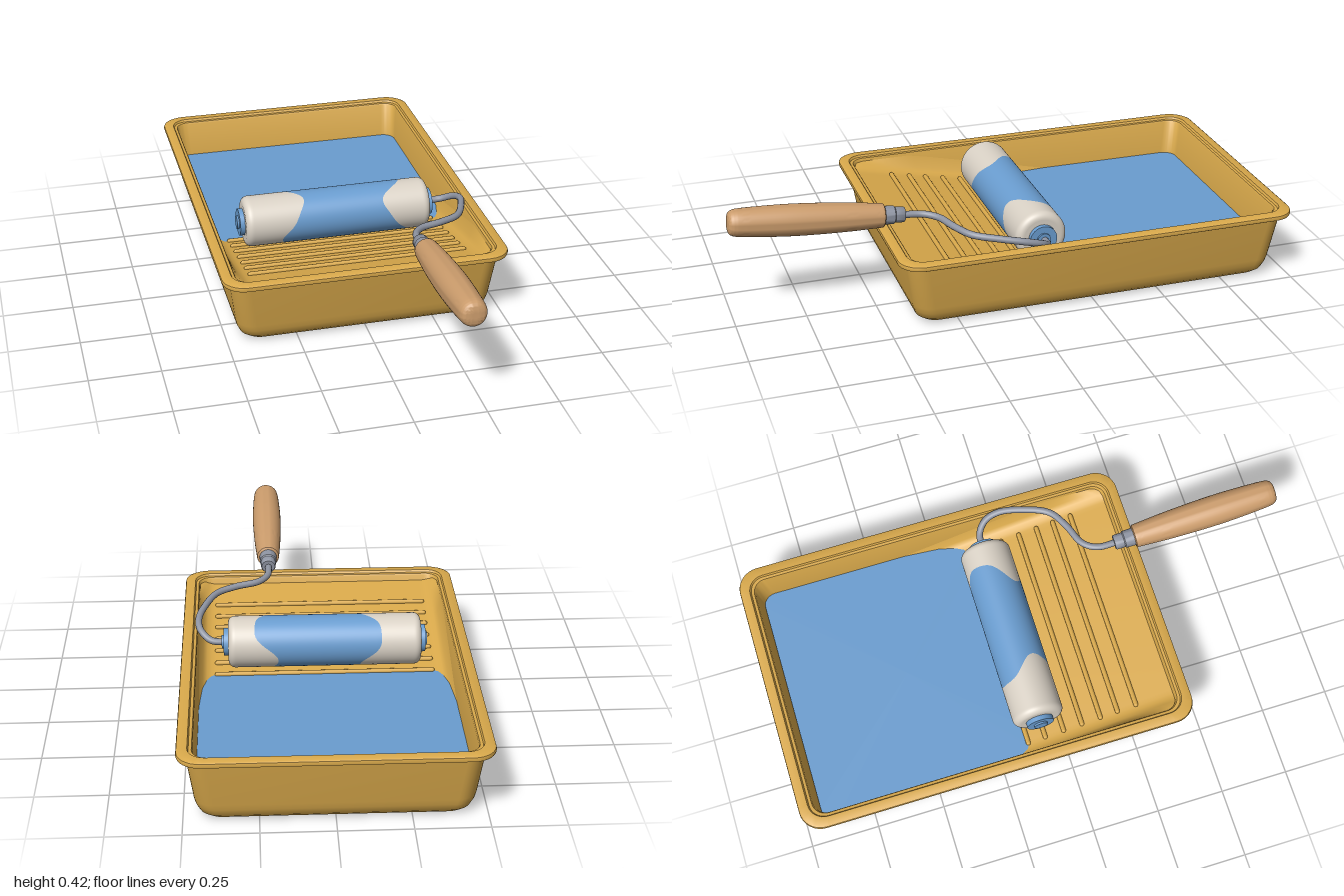
import * as THREE from 'three';
import { toCreasedNormals } from 'three/addons/utils/BufferGeometryUtils.js';

const mat = (name, color, side = THREE.FrontSide) => {
  const m = new THREE.MeshStandardMaterial({ color, side });
  m.name = name;
  return m;
};

// Indexed surface from a rule: point(i, j) for every row and column
function grid(rows, cols, wrap, point) {
  const pos = [], idx = [], n = wrap ? cols : cols + 1;
  for (let i = 0; i <= rows; i++) for (let j = 0; j < n; j++) pos.push(...point(i, j));
  for (let i = 0; i < rows; i++) for (let j = 0; j < cols; j++) {
    const k = (j + 1) % n, a = i * n + j, b = i * n + k, c = a + n, d = b + n;
    idx.push(a, b, c, b, d, c);
  }
  const g = new THREE.BufferGeometry();
  g.setAttribute('position', new THREE.Float32BufferAttribute(pos, 3));
  g.setIndex(idx);
  g.computeVertexNormals();
  return g;
}

// Loft through rounded rectangles given as [half width, half depth, corner radius, height]
function loft(sections) {
  const per = 9;
  return toCreasedNormals(grid(sections.length - 1, per * 4, true, (i, j) => {
    const [hx, hz, r, y] = sections[i];
    const q = Math.floor(j / per), t = (q + (j % per) / (per - 1)) * Math.PI / 2;
    const sx = q === 0 || q === 3 ? 1 : -1, sz = q < 2 ? -1 : 1;
    return [sx * (hx - r) + r * Math.cos(t), y, sz * (hz - r) - r * Math.sin(t)];
  }), 0.7);
}

export function createModel() {
  const model = new THREE.Group();
  const yellow = mat('tray yellow', 0xd9a94b);
  const blue = mat('paint blue', 0x6a9dd0);
  const cream = mat('roller cream', 0xdad2c6);
  const metal = mat('metal grey', 0x8e94a2);
  const wood = mat('handle wood', 0xcb9c6c);
  const add = (name, geo, material, x = 0, y = 0, z = 0, parent = model) => {
    const m = new THREE.Mesh(geo, material);
    m.name = name;
    m.position.set(x, y, z);
    parent.add(m);
    return m;
  };

  // Tray shell: underside, outer wall, rim, inner step, inner wall, floor
  add('tray', loft([
    [0, 0, 0, 0], [0.405, 0.615, 0.05, 0], [0.43, 0.643, 0.06, 0.007], [0.447, 0.659, 0.065, 0.022],
    [0.458, 0.668, 0.065, 0.048], [0.463, 0.673, 0.065, 0.07], [0.485, 0.7, 0.065, 0.243],
    [0.508, 0.725, 0.08, 0.243], [0.513, 0.731, 0.08, 0.246], [0.515, 0.7325, 0.08, 0.253],
    [0.513, 0.731, 0.08, 0.261], [0.507, 0.725, 0.08, 0.265], [0.478, 0.697, 0.06, 0.265],
    [0.474, 0.692, 0.055, 0.257], [0.464, 0.682, 0.05, 0.256], [0.461, 0.678, 0.05, 0.25],
    [0.454, 0.662, 0.05, 0.1], [0.445, 0.65, 0.05, 0.04], [0.42, 0.63, 0.04, 0.02], [0, 0, 0, 0.02],
  ]), yellow, 0, 0, -0.2675);

  // Sloping ramp that curves up into the side walls
  const rampY = z => 0.12 + 0.2 * (z + 0.14);
  add('ramp', grid(60, 40, false, (i, j) => {
    const x = -0.46 + 0.92 * i / 60, z = -0.5 + 0.913 * j / 40;
    const d = Math.max(0, Math.abs(x) - 0.4), r = 0.06;
    const lift = r - Math.sqrt(Math.max(0, r * r - d * d));
    return [x, Math.min(rampY(z) + lift, 0.245), z];
  }), yellow);

  // Ridges across the ramp
  for (const z of [-0.14, -0.075, -0.005, 0.065, 0.135, 0.2, 0.27]) {
    const rib = add('rampRidge', new THREE.CapsuleGeometry(0.009, 0.785, 4, 10), yellow, 0, rampY(z) + 0.002, z);
    rib.rotation.z = Math.PI / 2;
  }

  // Pool of paint
  add('paintPool', loft([[0.458, 0.44, 0.05, 0.12], [0, 0, 0, 0.12]]), blue, 0, 0, -0.49);

  // Roller sleeve: cream ends and a wavy painted band
  const roller = new THREE.Group();
  roller.name = 'roller';
  roller.position.set(0, 0.227, -0.085);
  model.add(roller);
  const R = 0.094, E = 0.025, L = 0.35;
  const leftEdge = a => -0.17 + 0.04 * Math.cos(2 * (a - 0.6)) + 0.006 * Math.sin(5 * a);
  const rightEdge = a => 0.215 - 0.045 * Math.cos(2 * (a - 1.0)) + 0.006 * Math.sin(5 * a + 1);
  const sleeve = (from, to, ease) => grid(24, 72, true, (i, j) => {
    const a = j / 72 * Math.PI * 2, x = THREE.MathUtils.lerp(from(a), to(a), ease(i / 24));
    const d = Math.max(0, Math.abs(x) - (L - E));
    const r = R - E + Math.sqrt(Math.max(0, E * E - d * d));
    return [x, r * Math.cos(a), r * Math.sin(a)];
  });
  add('sleeveRightEnd', sleeve(() => -L, leftEdge, t => t * t), cream, 0, 0, 0, roller);
  add('paintedBand', sleeve(leftEdge, rightEdge, t => t), blue, 0, 0, 0, roller);
  add('sleeveLeftEnd', sleeve(rightEdge, () => L, t => 1 - (1 - t) ** 2), cream, 0, 0, 0, roller);
  const barrel = (name, r, len, material, x = 0) => {
    add(name, new THREE.CylinderGeometry(r, r, len, 40), material, x, 0, 0, roller).rotation.z = Math.PI / 2;
  };
  barrel('sleeveEnds', R - E + 0.001, 2 * L - 0.001, cream);
  for (const s of [-1, 1]) {
    barrel('endCap', 0.05, 0.02, blue, s * 0.357);
    barrel('endHub', 0.025, 0.012, blue, s * 0.368);
  }

  // Bent wire frame
  const path = [[0.34, 0.227, -0.085], [0.41, 0.232, -0.083], [0.448, 0.255, -0.05], [0.458, 0.274, 0.005],
    [0.435, 0.288, 0.095], [0.39, 0.297, 0.185], [0.32, 0.302, 0.228], [0.235, 0.305, 0.262],
    [0.2, 0.309, 0.31], [0.195, 0.315, 0.4]].map(p => new THREE.Vector3(...p));
  add('wireFrame', new THREE.TubeGeometry(new THREE.CatmullRomCurve3(path), 100, 0.0125, 12), metal);

  // Handle with its metal ferrule, tilted slightly upward
  const handle = new THREE.Group();
  handle.name = 'handle';
  handle.position.set(0.195, 0.322, 0.45);
  handle.rotation.x = Math.PI / 2 - 0.09;
  model.add(handle);
  const lathe = pts => toCreasedNormals(
    new THREE.LatheGeometry(pts.map(p => new THREE.Vector2(...p)), 40), 0.7);
  add('ferrule', lathe([[0, -0.075], [0.025, -0.075], [0.028, -0.071], [0.028, -0.04], [0.032, -0.036],
    [0.033, 0], [0.033, 0.02]]), metal, 0, 0, 0, handle);
  const grip = new THREE.SplineCurve([[0.043, 0.008], [0.046, 0.05], [0.051, 0.13], [0.055, 0.24], [0.056, 0.34],
    [0.053, 0.44], [0.049, 0.51], [0.044, 0.535], [0.032, 0.547], [0, 0.551]].map(p => new THREE.Vector2(...p)));
  const gripPoints = grip.getPoints(50).map(p => [Math.max(0, p.x), p.y]);
  add('grip', lathe([[0, 0], [0.038, 0], [0.042, 0.003], ...gripPoints]), wood, 0, 0, 0, handle);

  return model;
}
